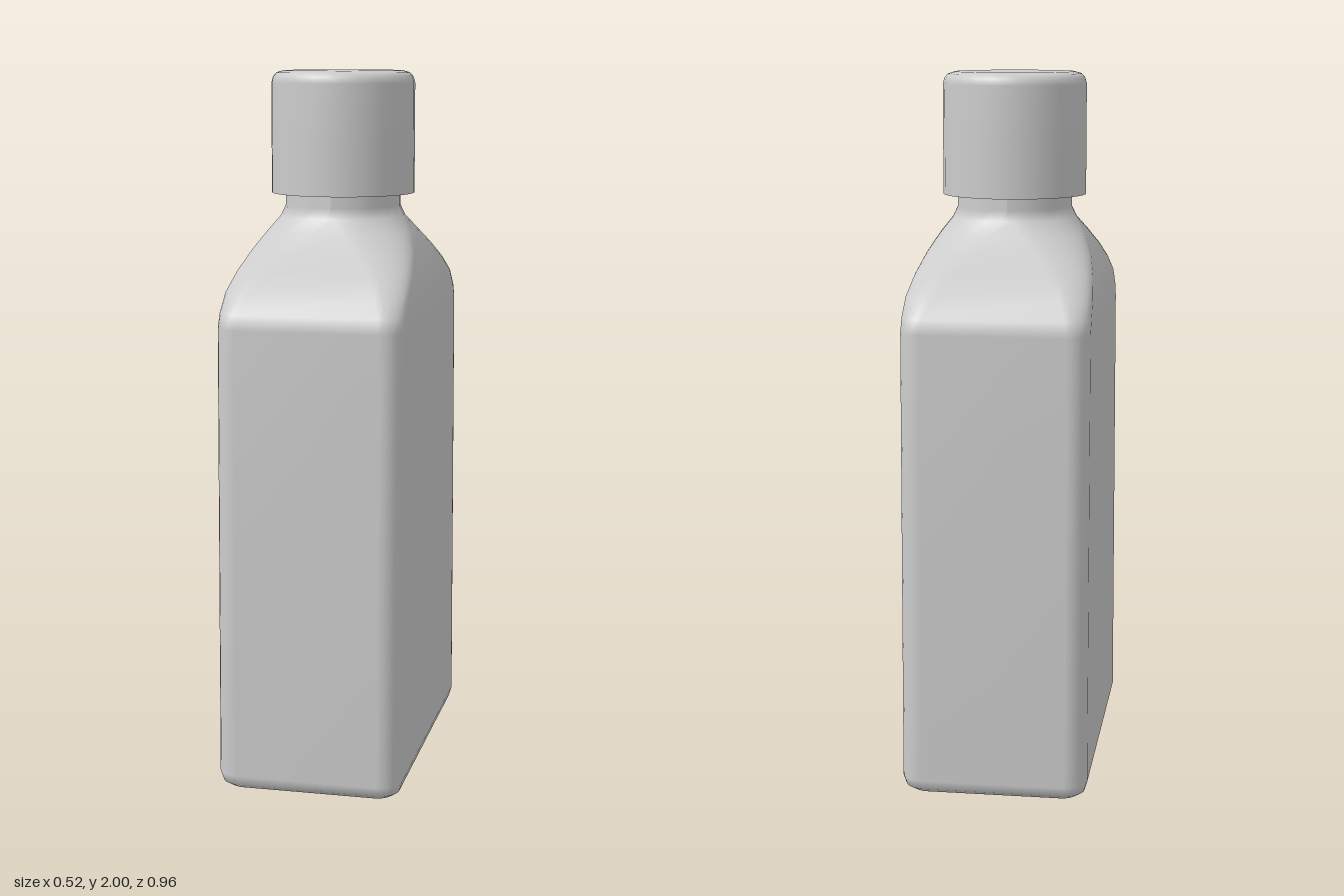
import * as THREE from 'three';

const ARC = 6; // segments per rounded corner

// Rounded-rectangle ring; becomes a circle when r = hx = hz
function ring(y, hx, hz, r) {
  const pts = [];
  for (let q = 0; q < 4; q++) {
    const sx = q === 0 || q === 3 ? 1 : -1;
    const sz = q < 2 ? 1 : -1;
    for (let i = 0; i <= ARC; i++) {
      const a = (q + i / ARC) * Math.PI / 2;
      pts.push(sx * (hx - r) + r * Math.cos(a), y, sz * (hz - r) + r * Math.sin(a));
    }
  }
  return pts;
}

// Skin the rings from bottom to top and close the base
function loft(sections) {
  const n = 4 * (ARC + 1);
  const pos = sections.flatMap(s => ring(...s));
  const index = [];
  for (let k = 0; k < sections.length - 1; k++) {
    for (let j = 0; j < n; j++) {
      const a = k * n + j, b = k * n + (j + 1) % n;
      index.push(a, a + n, b, b, a + n, b + n);
    }
  }
  const centre = pos.length / 3;
  pos.push(0, sections[0][0], 0);
  for (let j = 0; j < n; j++) index.push(centre, j, (j + 1) % n);
  const g = new THREE.BufferGeometry();
  g.setAttribute('position', new THREE.Float32BufferAttribute(pos, 3));
  g.setIndex(index);
  g.computeVertexNormals();
  return g;
}

export function createModel() {
  const model = new THREE.Group();
  const material = new THREE.MeshStandardMaterial({ color: 0xcccccc, side: THREE.DoubleSide });
  const add = (name, geometry) => {
    const mesh = new THREE.Mesh(geometry, material);
    mesh.name = name;
    model.add(mesh);
  };

  // Bottle: height, half width, half depth, corner radius
  add('bottleBody', loft([
    [0, 0.215, 0.43, 0.03],
    [0.004, 0.235, 0.451, 0.045],
    [0.018, 0.254, 0.47, 0.056],
    [0.045, 0.262, 0.478, 0.06],
    [0.65, 0.261, 0.47, 0.06],
    [1.31, 0.26, 0.46, 0.06],
    [1.35, 0.26, 0.443, 0.065],
    [1.4, 0.258, 0.405, 0.08],
    [1.45, 0.249, 0.338, 0.105],
    [1.5, 0.233, 0.265, 0.135],
    [1.55, 0.207, 0.205, 0.16],
    [1.59, 0.178, 0.172, 0.165],
    [1.62, 0.165, 0.165, 0.165],
    [1.9, 0.165, 0.165, 0.165],
  ]));

  // Cap: open underneath, rounded at the top edge
  const capProfile = [
    [0.205, 1.655], [0.205, 1.8], [0.205, 1.965], [0.2, 1.983], [0.19, 1.994], [0.17, 2], [0, 2],
  ].map(([r, y]) => new THREE.Vector2(r, y));
  add('cap', new THREE.LatheGeometry(capProfile, 32));

  return model;
}
